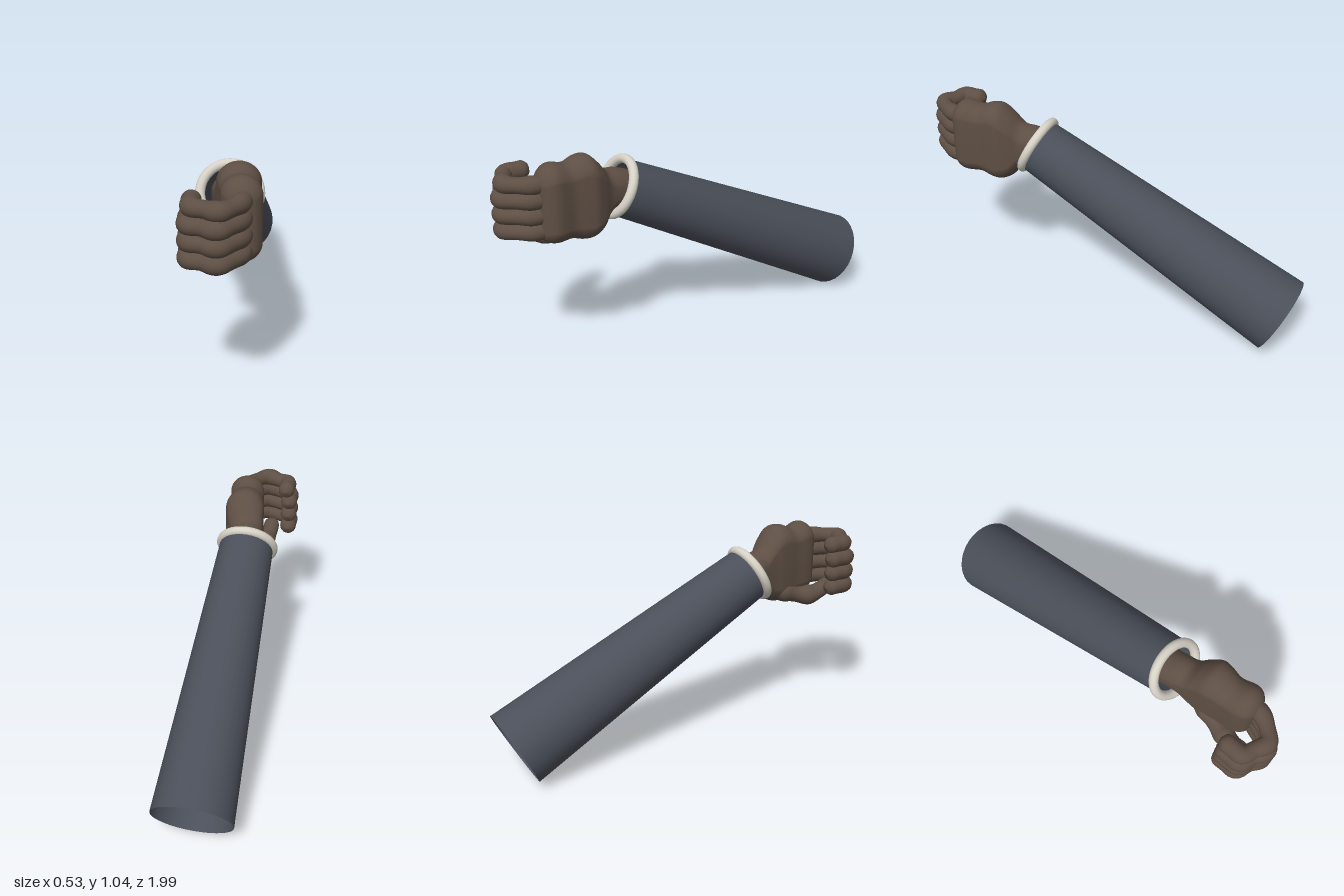
import * as THREE from 'three';
import { mergeVertices } from 'three/addons/utils/BufferGeometryUtils.js';

const V = (x, y, z) => new THREE.Vector3(x, y, z);

// Smooth shared normals across seams
function weld(geo) {
  geo.deleteAttribute('uv');
  geo.deleteAttribute('normal');
  const g = mergeVertices(geo, 1e-5);
  g.computeVertexNormals();
  return g;
}

// Round-ended tube whose radius swells at the given points along it
function digit(points, radius, swell, joints) {
  const curve = new THREE.CatmullRomCurve3(points);
  const length = curve.getLength();
  const steps = 48, sides = 20;
  const geo = new THREE.TubeGeometry(curve, steps, radius, sides);
  const pos = geo.attributes.position;
  const p = V(0, 0, 0);
  for (let i = 0; i <= steps; i++) {
    const u = i / steps;
    const centre = curve.getPointAt(u);
    let r = radius;
    for (const j of joints) r += swell * Math.exp(-(((u - j) / 0.09) ** 2));
    const d = Math.min(u, 1 - u) * length;
    if (d < r) r *= Math.sqrt(Math.max(0.0004, 1 - ((r - d) / r) ** 2));
    for (let k = 0; k <= sides; k++) {
      const n = i * (sides + 1) + k;
      p.fromBufferAttribute(pos, n).sub(centre).setLength(r).add(centre);
      pos.setXYZ(n, p.x, p.y, p.z);
    }
  }
  return weld(geo);
}

// Palm and wrist: stadium sections [z, centre x, half width, bottom, top]
function palmGeometry() {
  const rows = [
    [0.28, -0.03, 0.01, 0.79, 0.81],
    [0.30, -0.03, 0.08, 0.70, 0.88],
    [0.40, -0.03, 0.085, 0.735, 0.925],
    [0.47, -0.022, 0.083, 0.715, 0.94],
    [0.52, -0.008, 0.092, 0.66, 0.995],
    [0.57, 0, 0.1, 0.637, 1.04],
    [0.62, -0.001, 0.095, 0.637, 1.042],
    [0.68, -0.002, 0.086, 0.655, 1.022],
    [0.75, 0.004, 0.09, 0.655, 1.038],
    [0.79, 0.006, 0.08, 0.665, 1.025],
    [0.82, 0.006, 0.05, 0.69, 0.99],
    [0.83, 0.006, 0.004, 0.73, 0.95],
  ];
  const mid = new THREE.CatmullRomCurve3(rows.map(([z, x, , b, t]) => V(x, (b + t) / 2, z)), false, 'catmullrom');
  const half = new THREE.CatmullRomCurve3(rows.map(([z, , w, b, t]) => V(w, (t - b) / 2, z)), false, 'catmullrom');
  const rings = 66, sides = 40;
  const verts = [], index = [];
  for (let i = 0; i <= rings; i++) {
    const c = mid.getPoint(i / rings), h = half.getPoint(i / rings);
    const straight = Math.max(0, h.y - h.x);
    for (let j = 0; j < sides; j++) {
      const a = (j / sides) * Math.PI * 2;
      const s = Math.abs(Math.sin(a)) < 1e-6 ? 0 : Math.sin(a);
      verts.push(c.x + h.x * Math.cos(a), c.y + Math.sign(s) * straight + h.x * s, c.z);
      if (i < rings) {
        const k = (j + 1) % sides;
        const p = i * sides + j, q = i * sides + k;
        index.push(p, q, q + sides, p, q + sides, p + sides);
      }
    }
  }
  const geo = new THREE.BufferGeometry();
  geo.setAttribute('position', new THREE.Float32BufferAttribute(verts, 3));
  geo.setIndex(index);
  geo.computeVertexNormals();
  return geo;
}

export function createModel() {
  const model = new THREE.Group();
  model.name = 'arm';
  const cloth = new THREE.MeshStandardMaterial({ color: 0x4a4f59, side: THREE.DoubleSide });
  cloth.name = 'slate cloth';
  const skin = new THREE.MeshStandardMaterial({ color: 0x5e4f44 });
  skin.name = 'brown hand';
  const trim = new THREE.MeshStandardMaterial({ color: 0xd6d1c6 });
  trim.name = 'ivory trim';

  const add = (parent, name, geo, mat) => {
    const mesh = new THREE.Mesh(geo, mat);
    mesh.name = name;
    parent.add(mesh);
    return mesh;
  };

  // Open tapered sleeve from elbow to wrist
  const elbow = V(0.07, 0.175, -0.91), wrist = V(-0.03, 0.825, 0.385);
  const axis = wrist.clone().sub(elbow);
  const sleeve = add(model, 'sleeve',
    new THREE.CylinderGeometry(0.138, 0.195, axis.length(), 32, 1, true), cloth);
  sleeve.position.copy(elbow).add(wrist).multiplyScalar(0.5);
  axis.normalize();
  sleeve.quaternion.setFromUnitVectors(V(0, 1, 0), axis);

  // Rounded cuff ring
  const cuff = add(model, 'cuff', new THREE.TorusGeometry(0.136, 0.023, 16, 48), trim);
  cuff.position.set(-0.033, 0.83, 0.398);
  cuff.quaternion.setFromUnitVectors(V(0, 0, 1), axis);

  const hand = new THREE.Group();
  hand.name = 'hand';
  model.add(hand);
  add(hand, 'palm', palmGeometry(), skin);

  // Four curled fingers stacked in height; the topmost is a little shorter
  const path = [[0.015, 0.75], [0.005, 0.83], [-0.035, 0.9], [-0.1, 0.952],
    [-0.165, 0.918], [-0.218, 0.89], [-0.22, 0.835], [-0.215, 0.76]];
  [0.728, 0.803, 0.878, 0.95].forEach((y, i) => {
    const s = i === 3 ? 0.93 : 1;
    const points = path.map(([x, z]) => V(x * s, y, 0.75 + (z - 0.75) * s));
    add(hand, 'finger' + (i + 1), digit(points, 0.036, 0.008, [0.2, 0.5, 0.78, 0.95]), skin);
  });

  // Thumb folded under the palm towards the fingers
  const thumbPath = [V(-0.03, 0.74, 0.5), V(-0.06, 0.69, 0.62), V(-0.1, 0.66, 0.75),
    V(-0.12, 0.685, 0.82), V(-0.125, 0.72, 0.88)];
  add(hand, 'thumb', digit(thumbPath, 0.042, 0.011, [0.3, 0.64]), skin);

  return model;
}
